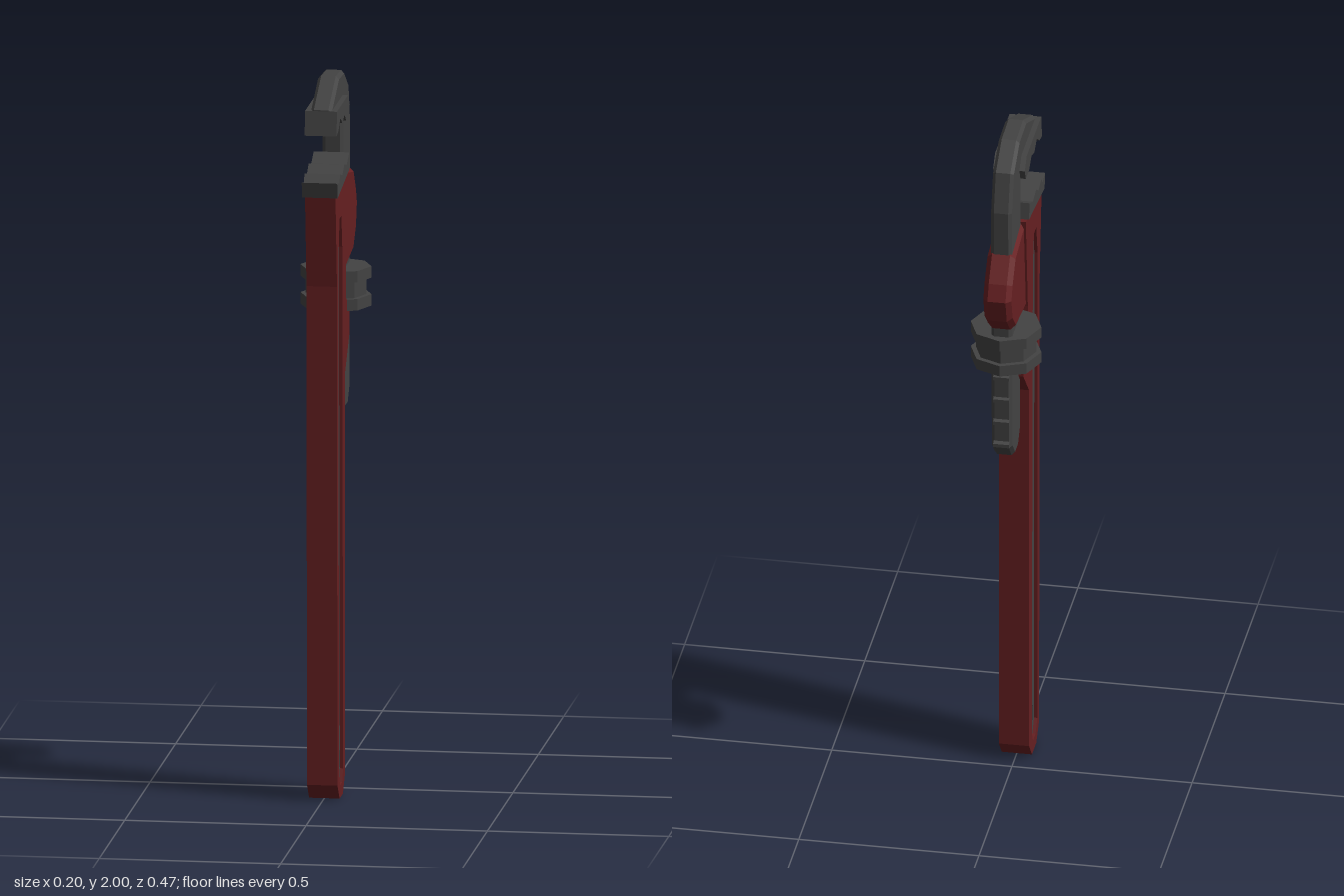
import * as THREE from 'three';

const red = new THREE.MeshStandardMaterial({ color: 0x661f21, flatShading: true });
red.name = 'dark red paint';
const steel = new THREE.MeshStandardMaterial({ color: 0x434343, flatShading: true });
steel.name = 'dark steel';

// Side profile given as [z, y] points, extruded across x and centred on x = 0
function slab(name, points, halfWidth, material, bevel = 0, holes = []) {
  const toVectors = (list) => list.map(([z, y]) => new THREE.Vector2(z, y));
  const shape = new THREE.Shape(toVectors(points));
  for (const hole of holes) shape.holes.push(new THREE.Path(toVectors(hole)));
  const depth = 2 * (halfWidth - bevel);
  const geometry = new THREE.ExtrudeGeometry(shape, {
    depth, bevelEnabled: bevel > 0, bevelThickness: bevel,
    bevelSize: bevel, bevelOffset: -bevel, bevelSegments: 1,
  });
  geometry.translate(0, 0, -depth / 2).rotateY(-Math.PI / 2);
  const mesh = new THREE.Mesh(geometry, material);
  mesh.name = name;
  return mesh;
}

export function createModel() {
  const model = new THREE.Group();
  model.name = 'pipeWrench';

  // Handle: red frame around a recessed steel web with a hanging hole
  const groove = [
    [0.14, 1.62], [0.105, 1.62], [0.088, 1.53], [0.072, 0.07], [0.09, 0.035],
    [0.13, 0.035], [0.155, 0.07], [0.16, 1.53],
  ];
  const hangingHole = [
    [0.118, 0.14], [0.095, 0.14], [0.082, 0.12], [0.082, 0.075], [0.095, 0.055],
    [0.118, 0.055], [0.131, 0.075], [0.131, 0.12],
  ];
  model.add(slab('handle', [
    [0.222, 1.70], [0.192, 1.44], [0.183, 0.045], [0.14, 0], [0.075, 0],
    [0.032, 0.05], [0.03, 1.17], [-0.055, 1.26], [-0.055, 1.34], [0.012, 1.37],
    [0.012, 1.445], [-0.018, 1.725],
  ], 0.042, red, 0, [groove]));
  model.add(slab('handleWeb', groove, 0.033, steel, 0, [hangingHole]));

  // Fixed lower jaw with toothed top
  model.add(slab('lowerJaw', [
    [0.228, 1.695], [0.237, 1.738], [0.195, 1.73], [0.18, 1.752], [0.135, 1.74],
    [0.1, 1.762], [0.05, 1.752], [0.0, 1.775], [-0.008, 1.728],
  ], 0.049, steel));

  // Housing around the sliding shank
  model.add(slab('housing', [
    [-0.02, 1.727], [-0.165, 1.70], [-0.215, 1.635], [-0.235, 1.59], [-0.215, 1.52],
    [-0.16, 1.465], [0.012, 1.445],
  ], 0.039, red, 0.014));

  // Hook jaw: curved arm and straight shank in one piece
  model.add(slab('hookArm', [
    [0.205, 1.935], [0.06, 2.0], [-0.045, 1.995], [-0.135, 1.94], [-0.166, 1.83],
    [-0.155, 1.09], [-0.115, 1.045], [-0.06, 1.045], [-0.027, 1.09], [-0.02, 1.87],
    [0.0, 1.9], [0.205, 1.89],
  ], 0.029, steel, 0.009));

  // Wide toothed head of the hook jaw
  model.add(slab('upperJaw', [
    [0.205, 1.932], [-0.015, 1.932], [-0.045, 1.9], [-0.03, 1.868], [0.022, 1.868],
    [0.058, 1.892], [0.1, 1.878], [0.138, 1.9], [0.178, 1.872], [0.216, 1.865],
  ], 0.044, steel));

  // Thread ridges on both edges of the shank
  const ridges = new THREE.Group();
  ridges.name = 'shankThread';
  for (let i = 0; i < 4; i++) {
    const y = 1.1 + i * 0.07;
    ridges.add(slab('rearRidge', [[-0.15, y - 0.012], [-0.15, y + 0.012], [-0.166, y + 0.005], [-0.166, y - 0.005]], 0.022, steel));
    ridges.add(slab('frontRidge', [[-0.03, y - 0.012], [-0.03, y + 0.012], [-0.018, y + 0.005], [-0.018, y - 0.005]], 0.022, steel));
  }
  model.add(ridges);

  // Eight-sided adjusting nut: two rims and a narrower waist
  const nut = new THREE.Group();
  nut.name = 'adjustingNut';
  for (const [name, y, height, radius] of [
    ['lowerRim', 1.346, 0.032, 0.098], ['waist', 1.386, 0.05, 0.084], ['upperRim', 1.424, 0.032, 0.098],
  ]) {
    const ring = new THREE.Mesh(new THREE.CylinderGeometry(radius, radius, height, 8), steel);
    ring.name = name;
    ring.position.set(0, y, -0.088);
    nut.add(ring);
  }
  model.add(nut);

  return model;
}
